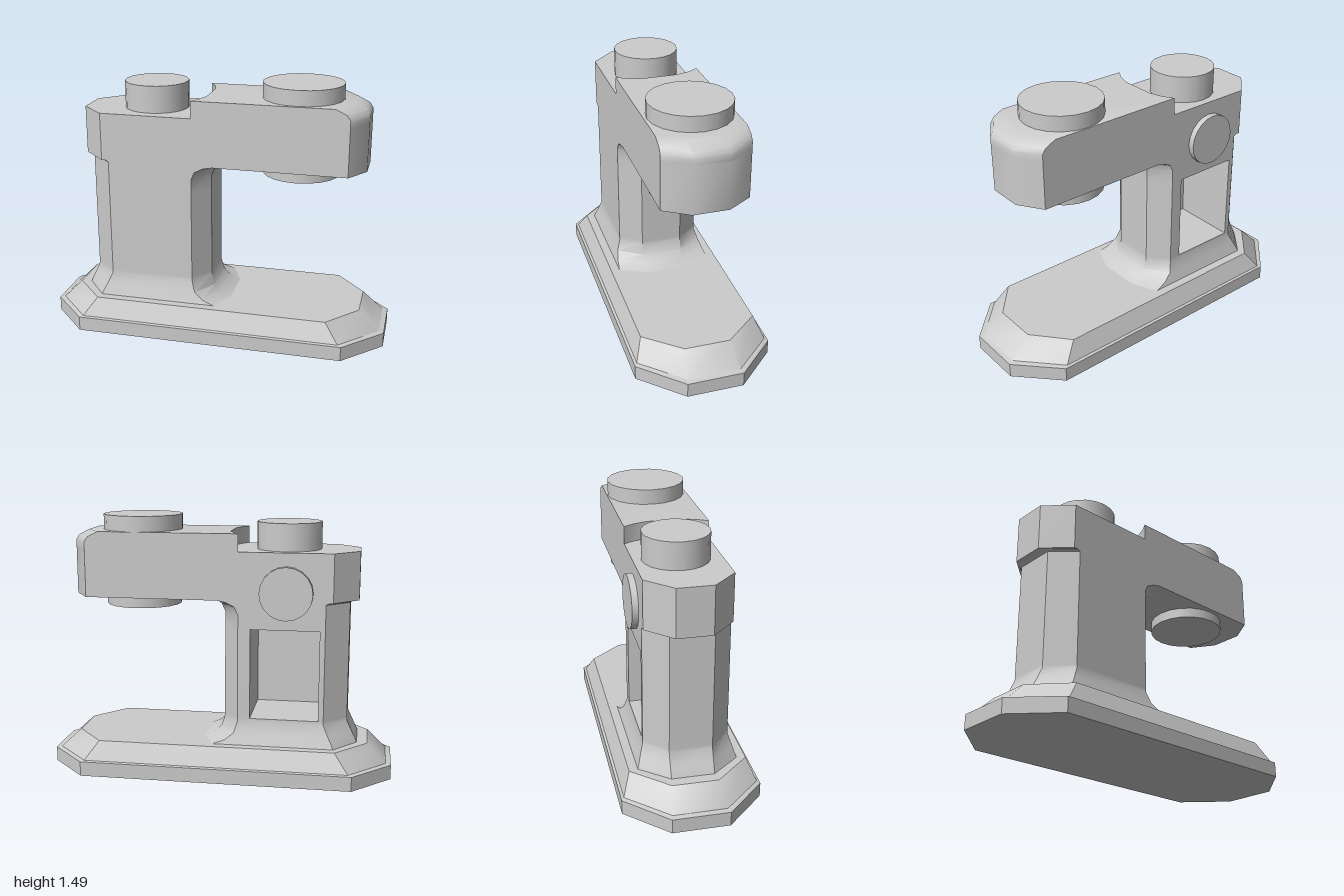
import * as THREE from 'three';
import { toCreasedNormals } from 'three/addons/utils/BufferGeometryUtils.js';

const material = new THREE.MeshStandardMaterial({ color: 0xcccccc });

// Loft through rings {y, pts: [[x, z], ...]}; skip(i, j) leaves out a side quad.
function loft(rings, skip = () => false) {
  const pos = [];
  const put = (r, j) => {
    const p = r.pts[j % r.pts.length];
    pos.push(p[0], r.y, p[1]);
  };
  const n = rings[0].pts.length;
  for (let i = 0; i < rings.length - 1; i++) {
    const a = rings[i], b = rings[i + 1];
    for (let j = 0; j < n; j++) {
      if (skip(i, j)) continue;
      put(a, j); put(a, j + 1); put(b, j + 1);
      put(a, j); put(b, j + 1); put(b, j);
    }
  }
  const cap = (r, flip) => {
    const flat = r.pts.map(([x, z]) => new THREE.Vector2(x, -z));
    for (const t of THREE.ShapeUtils.triangulateShape(flat, [])) {
      (flip ? [t[0], t[2], t[1]] : t).forEach(j => put(r, j));
    }
  };
  cap(rings[0], true);
  cap(rings[rings.length - 1], false);
  const geo = new THREE.BufferGeometry();
  geo.setAttribute('position', new THREE.Float32BufferAttribute(pos, 3));
  return toCreasedNormals(geo, 0.6);
}

// Long octagon: ends at x0/x1, corners at c0/c1, half depth z, half end width e
const octagon = (x0, c0, c1, x1, z, e) => [
  [c0, z], [c1, z], [x1, e], [x1, -e], [c1, -z], [c0, -z], [x0, -e], [x0, e],
];

export function createModel() {
  const model = new THREE.Group();
  const add = (name, geo) => {
    const mesh = new THREE.Mesh(geo, material);
    mesh.name = name;
    model.add(mesh);
    return mesh;
  };
  const disc = (name, r, h, x, y, z) => {
    const mesh = add(name, new THREE.CylinderGeometry(r, r, h, 20));
    mesh.position.set(x, y, z);
    return mesh;
  };

  // Base: plinth, small ledge, sloped shoulder
  add('base', loft([
    { y: 0, pts: octagon(-1, -0.78, 0.78, 1, 0.39, 0.16) },
    { y: 0.085, pts: octagon(-1, -0.78, 0.78, 1, 0.39, 0.16) },
    { y: 0.09, pts: octagon(-0.97, -0.76, 0.76, 0.97, 0.375, 0.15) },
    { y: 0.2, pts: octagon(-0.86, -0.68, 0.68, 0.85, 0.33, 0.13) },
  ]));

  // Column: flared foot, filleted neck under the arm, window in the back
  const hole = { x0: -0.58, x1: -0.19, y0: 0.35, y1: 0.87, z: 0.15 };
  const columnRings = [
    // y, left end, left corner, right corner, right end, half depth
    [0.2, -0.8, -0.67, 0.02, 0.09, 0.28],
    [0.225, -0.79, -0.66, -0.05, 0.03, 0.272],
    [0.265, -0.77, -0.64, -0.1, -0.01, 0.26],
    [0.33, -0.74, -0.61, -0.12, -0.03, 0.24],
    [hole.y0, -0.74, -0.61, -0.12, -0.03, 0.24],
    [hole.y1, -0.74, -0.61, -0.12, -0.03, 0.24],
    [0.95, -0.74, -0.61, -0.12, -0.03, 0.24],
    [0.995, -0.74, -0.61, -0.1, -0.01, 0.24],
    [1.02, -0.74, -0.61, -0.05, 0.03, 0.24],
    [1.032, -0.76, -0.63, 0.01, 0.08, 0.24],
  ].map(([y, x0, c0, c1, x1, z]) => {
    const pts = octagon(x0, c0, c1, x1, z, 0.12);
    pts.splice(5, 0, [hole.x1, -z], [hole.x0, -z]);
    return { y, pts };
  });
  add('column', loft(columnRings, (i, j) => i === 4 && j === 5));

  // Inside walls of the window, open to the back
  const cavity = new THREE.BoxGeometry(hole.x1 - hole.x0, hole.y1 - hole.y0, hole.z + 0.24);
  cavity.setIndex(Array.from(cavity.index.array).slice(0, 30));
  cavity.clearGroups();
  cavity.scale(-1, 1, 1);
  cavity.computeVertexNormals();
  add('columnCavity', cavity).position.set(
    (hole.x0 + hole.x1) / 2, (hole.y0 + hole.y1) / 2, (hole.z - 0.24) / 2);

  // Head and arm: lower slab over the full length
  add('head', loft([1.03, 1.305].map(y => ({
    y, pts: octagon(-0.79, -0.65, 0.76, 0.85, 0.24, 0.1),
  }))));

  // Raised arm top with a hollowed step and a bevelled nose
  const armRing = (y, c, x) => ({
    y,
    pts: [
      [-0.12, 0.24], [c, 0.24], [x, 0.1], [x, -0.1], [c, -0.24], [-0.12, -0.24],
      [-0.085, -0.18], [-0.06, -0.1], [-0.06, 0.1], [-0.085, 0.18],
    ],
  });
  add('armTop', loft([
    armRing(1.305, 0.76, 0.85), armRing(1.345, 0.76, 0.85),
    armRing(1.375, 0.74, 0.83), armRing(1.405, 0.68, 0.77),
  ]));

  // Round caps and dial
  disc('rearCap', 0.185, 0.16, -0.385, 1.38, -0.01);
  disc('armCap', 0.23, 0.09, 0.47, 1.447, -0.005);
  disc('armUndersideDisc', 0.22, 0.07, 0.47, 1.005, -0.005);
  disc('backDial', 0.15, 0.04, -0.39, 1.08, -0.255).rotation.x = Math.PI / 2;

  return model;
}
